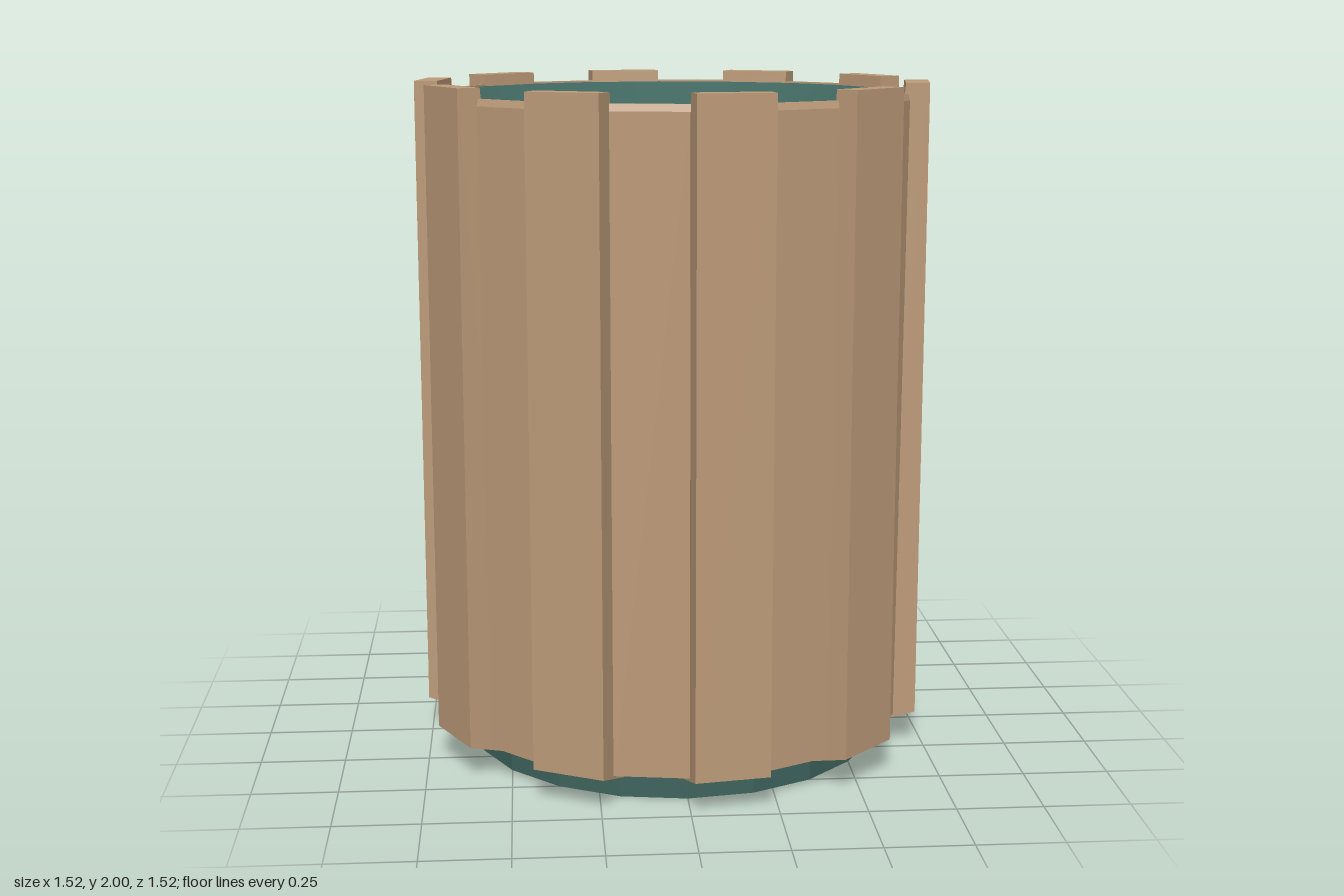
import * as THREE from 'three';

const SIDES = 20;
const STEP = (Math.PI * 2) / SIDES;

export function createModel() {
  const model = new THREE.Group();
  model.name = 'slattedBin';

  const shellMat = new THREE.MeshStandardMaterial({ color: 0x3f655e, side: THREE.DoubleSide, flatShading: true });
  const linerMat = new THREE.MeshStandardMaterial({ color: 0x3f655e, side: THREE.DoubleSide });
  const woodMat = new THREE.MeshStandardMaterial({ color: 0xbc9a78, flatShading: true });

  // Turned part with a 20-sided outline
  const turned = (name, points, material) => {
    const profile = points.map(([r, y]) => new THREE.Vector2(r, y));
    const mesh = new THREE.Mesh(new THREE.LatheGeometry(profile, SIDES), material);
    mesh.name = name;
    model.add(mesh);
  };

  // Tapered bin: outside with base, sloping rim, inner wall and floor
  turned('binShell', [[0, 0], [0.62, 0], [0.69, 1.965]], shellMat);
  turned('funnelRim', [[0.69, 1.965], [0.37, 1.8]], linerMat);
  turned('rimUnderside', [[0.37, 1.8], [0.67, 1.93]], linerMat);
  turned('innerWall', [[0.67, 1.93], [0.61, 0.04]], linerMat);
  turned('binFloor', [[0.61, 0.04], [0, 0.04]], linerMat);

  // Stave: radial cross-section extruded across its width
  const staveGeometry = (section, width) => {
    const shape = new THREE.Shape(section.map(([r, y]) => new THREE.Vector2(r, y)));
    const geometry = new THREE.ExtrudeGeometry(shape, { depth: width, bevelEnabled: false });
    return geometry.translate(0, 0, -width / 2);
  };
  const raised = staveGeometry([[0.612, 0.06], [0.752, 0.1], [0.752, 2], [0.683, 2], [0.68, 1.96]], 0.218);
  const recessed = staveGeometry([[0.612, 0.06], [0.686, 0.09], [0.696, 1.95], [0.69, 1.97], [0.681, 1.97]], 0.216);

  // Thick and thin staves alternate around the bin, one per facet
  const staves = new THREE.Group();
  staves.name = 'staves';
  for (let i = 0; i < SIDES; i++) {
    const isRaised = i % 2 === 0;
    const stave = new THREE.Mesh(isRaised ? raised : recessed, woodMat);
    stave.name = isRaised ? 'raisedStave' : 'recessedStave';
    stave.rotation.y = -(i + 0.5) * STEP;
    staves.add(stave);
  }
  model.add(staves);

  return model;
}
